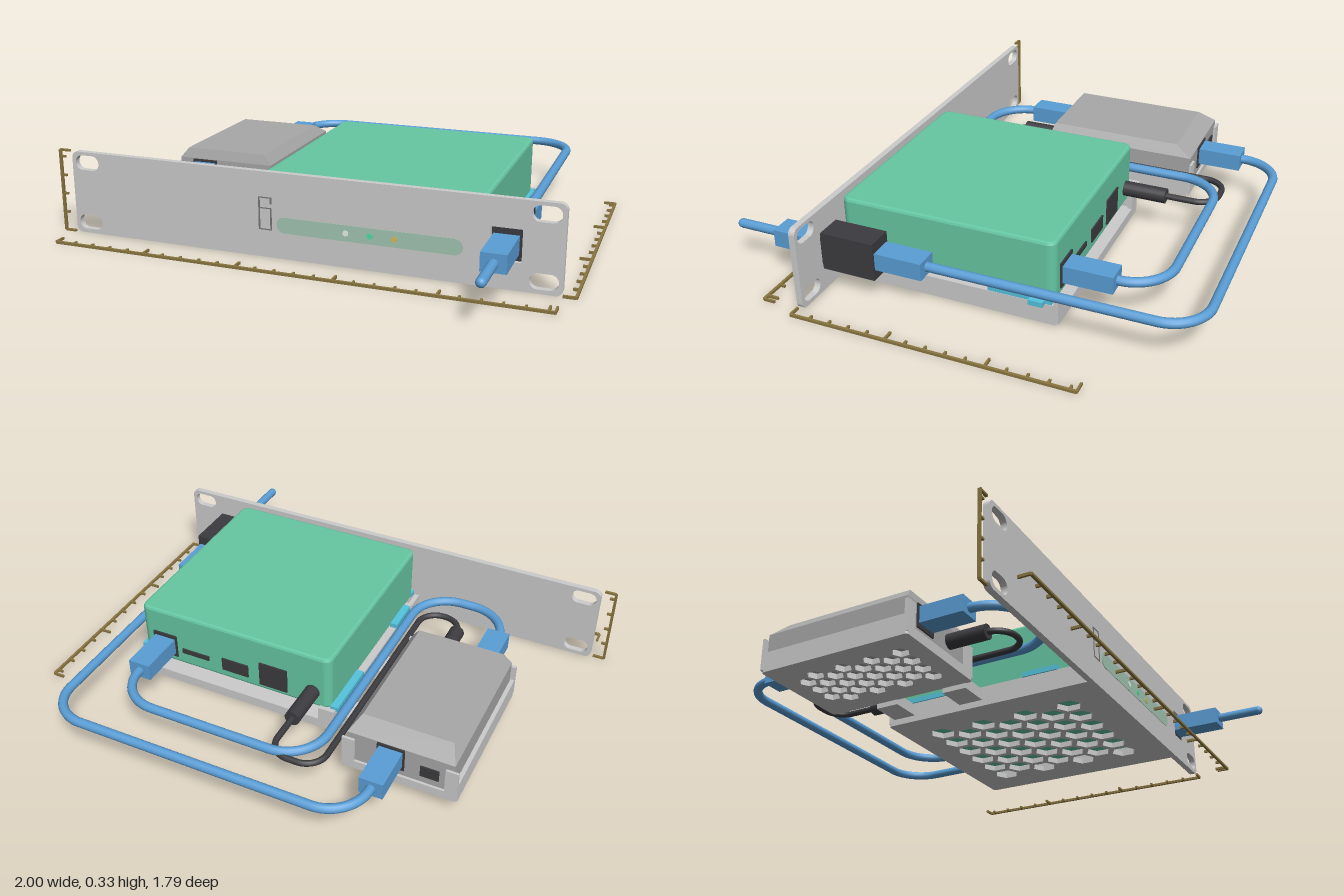
import * as THREE from 'three';
import { ConvexGeometry } from 'three/addons/geometries/ConvexGeometry.js';

const mat = (color) => new THREE.MeshStandardMaterial({ color });
const grey = mat(0xcccccc), bodyGrey = mat(0xa8a8a8), dark = mat(0x3c3c40), blue = mat(0x5a9ed6);
const green = mat(0x66c7a3), cyan = mat(0x55c4de), brass = mat(0x8a7640);

export function createModel() {
  const root = new THREE.Group();
  const add = (name, geo, material, parent = root) => {
    const m = new THREE.Mesh(geo, material);
    m.name = name;
    parent.add(m);
    return m;
  };
  const group = (name) => {
    const g = new THREE.Group();
    g.name = name;
    root.add(g);
    return g;
  };
  // Box given by its extents
  const box = (name, x0, x1, y0, y1, z0, z1, material, parent) => {
    const g = new THREE.BoxGeometry(x1 - x0, y1 - y0, z1 - z0);
    g.translate((x0 + x1) / 2, (y0 + y1) / 2, (z0 + z1) / 2);
    return add(name, g, material, parent);
  };
  // Rounded rectangle as a shape or a hole
  const roundRect = (x0, x1, y0, y1, r, Type = THREE.Shape) => {
    const s = new Type();
    s.absarc(x1 - r, y0 + r, r, -Math.PI / 2, 0);
    s.absarc(x1 - r, y1 - r, r, 0, Math.PI / 2);
    s.absarc(x0 + r, y1 - r, r, Math.PI / 2, Math.PI);
    s.absarc(x0 + r, y0 + r, r, Math.PI, Math.PI * 1.5);
    s.closePath();
    return s;
  };

  // Front panel with rounded mounting slots and a socket opening
  const panel = roundRect(-0.94, 0.95, 0.005, 0.33, 0.025);
  for (const x of [-0.875, 0.885])
    for (const y of [0.05, 0.288])
      panel.holes.push(roundRect(x - 0.05, x + 0.05, y - 0.029, y + 0.029, 0.028, THREE.Path));
  panel.holes.push(roundRect(0.698, 0.807, 0.107, 0.225, 0.002, THREE.Path));
  const panelGeo = new THREE.ExtrudeGeometry(panel, { depth: 0.024, bevelEnabled: false, curveSegments: 8 });
  add('frontPanel', panelGeo.translate(0, 0, 0.497), grey);

  // Light strip, indicator dots and outlined latch on the panel
  const strip = new THREE.ExtrudeGeometry(roundRect(-0.085, 0.605, 0.105, 0.165, 0.029), { depth: 0.005, bevelEnabled: false });
  add('lightStrip', strip.translate(0, 0, 0.518), mat(0xa3c6b2));
  [[0.18, 0xe8f0e8], [0.27, 0x4fe0a4], [0.36, 0xd6bd55]].forEach(([x, color]) => {
    const dot = new THREE.CylinderGeometry(0.011, 0.011, 0.006, 16).rotateX(Math.PI / 2);
    add('indicatorLight', dot.translate(x, 0.135, 0.522), mat(color));
  });
  const latch = group('latchOutline');
  const line = (x0, x1, y0, y1) => box('latchGroove', x0, x1, y0, y1, 0.518, 0.5225, mat(0x777777), latch);
  line(-0.157, -0.151, 0.11, 0.235);
  line(-0.111, -0.105, 0.11, 0.195);
  line(-0.111, -0.105, 0.21, 0.235);
  for (const y of [0.11, 0.191, 0.231]) line(-0.157, -0.105, y, y + 0.004);

  // Perforated floor: a plate with a staggered grid of hexagonal holes
  const hexFloor = (name, x0, x1, z0, z1, y, pitch, margin, parent) => {
    const s = roundRect(x0, x1, -z1, -z0, 0.012);
    const r = pitch * 0.47, dy = pitch * 0.866;
    const rows = Math.floor((z1 - z0 - 2 * margin - 2 * r) / dy) + 1;
    const cols = Math.floor((x1 - x0 - 2 * margin) / pitch);
    const cx = (x0 + x1) / 2, cy = -(z0 + z1) / 2;
    for (let j = 0; j < rows; j++) {
      const n = cols - (j % 2);
      for (let i = 0; i < n; i++) {
        const hx = cx + (i - (n - 1) / 2) * pitch, hy = cy + (j - (rows - 1) / 2) * dy;
        const hole = new THREE.Path();
        hole.setFromPoints(Array.from({ length: 6 }, (_, k) => {
          const a = Math.PI / 6 + (k * Math.PI) / 3;
          return new THREE.Vector2(hx + r * Math.cos(a), hy + r * Math.sin(a));
        }));
        s.holes.push(hole);
      }
    }
    const g = new THREE.ExtrudeGeometry(s, { depth: 0.022, bevelEnabled: false, curveSegments: 3 });
    add(name, g.rotateX(-Math.PI / 2).translate(0, y, 0), grey, parent);
  };

  // Main tray: floor, side walls, low rear lip with corner stops
  const tray = group('mainTray');
  hexFloor('mainTrayFloor', -0.175, 0.692, -0.366, 0.5, 0.005, 0.108, 0.06, tray);
  for (const [x0, x1] of [[-0.175, -0.155], [0.672, 0.692]])
    box('mainTrayWall', x0, x1, 0.015, 0.084, -0.35, 0.5, grey, tray);
  box('mainTrayRearLip', -0.17, 0.687, 0.015, 0.045, -0.366, -0.35, grey, tray);
  for (const [x0, x1] of [[-0.175, -0.11], [0.627, 0.692]])
    box('mainTrayCornerStop', x0, x1, 0.015, 0.1, -0.366, -0.349, grey, tray);

  // Coloured clips along the tray edges
  for (const [x0, x1] of [[-0.18, -0.148], [0.665, 0.69]])
    for (const [z0, z1] of [[-0.34, -0.1], [0.235, 0.38]])
      box('trayClip', x0, x1, 0.083, 0.103, z0, z1, cyan, tray);
  box('trayClipTab', 0.68, 0.712, 0.08, 0.1, -0.315, -0.26, cyan, tray);
  for (const x of [-0.1, 0.6]) box('frontClip', x - 0.05, x + 0.05, 0.083, 0.103, 0.47, 0.496, cyan, tray);

  // Green device with softened edges
  const dev = new THREE.ExtrudeGeometry(roundRect(-0.138, 0.664, -0.474, 0.333, 0.02), {
    depth: 0.212, bevelThickness: 0.011, bevelSize: 0.012, bevelSegments: 2, curveSegments: 4 });
  add('deviceBody', dev.rotateX(-Math.PI / 2).translate(0, 0.097, 0), green);
  for (const [x0, x1, y0, y1] of [[0.03, 0.15, 0.11, 0.215], [0.2, 0.315, 0.125, 0.18], [0.375, 0.495, 0.145, 0.165], [0.52, 0.625, 0.115, 0.215]])
    box('devicePort', x0, x1, y0, y1, -0.351, -0.335, dark);

  // Power unit with a sloped lid, in its own smaller tray
  const ring = (x0, x1, z0, z1, y) => [[x0, z0], [x1, z0], [x1, z1], [x0, z1]].map(([x, z]) => new THREE.Vector3(x, y, z));
  add('powerUnit', new ConvexGeometry([
    ...ring(-0.72, -0.313, -0.543, 0.072, 0.072),
    ...ring(-0.72, -0.313, -0.543, 0.072, 0.212),
    ...ring(-0.688, -0.343, -0.475, 0.06, 0.252)]), bodyGrey);
  box('powerUnitPort', -0.535, -0.43, 0.115, 0.21, -0.549, -0.53, dark);
  box('powerUnitSocket', -0.665, -0.595, 0.12, 0.165, -0.549, -0.53, dark);
  box('powerUnitFrontPort', -0.66, -0.555, 0.115, 0.21, 0.06, 0.078, dark);

  const side = group('sideTray');
  hexFloor('sideTrayFloor', -0.738, -0.297, -0.55, 0.088, 0.05, 0.072, 0.045, side);
  for (const [x0, x1] of [[-0.738, -0.722], [-0.311, -0.297]])
    box('sideTrayWall', x0, x1, 0.06, 0.13, -0.55, 0.088, grey, side);
  for (const [z0, z1] of [[-0.555, -0.545], [0.074, 0.088]]) {
    box('sideTrayLip', -0.735, -0.3, 0.06, 0.09, z0, z1, grey, side);
    for (const [x0, x1] of [[-0.738, -0.69], [-0.345, -0.297]])
      box('sideTrayCorner', x0, x1, 0.06, 0.19, z0, z1, grey, side);
  }
  for (const [z0, z1] of [[-0.34, -0.245], [-0.04, 0.06]])
    box('trayBridge', -0.3, -0.17, 0.03, 0.075, z0, z1, grey, side);

  // Cable through [x, z] points with rounded corners of radius r
  const cable = (name, pts, r, y, radius, material) => {
    const p = pts.map(([x, z]) => new THREE.Vector3(x, y, z));
    const path = new THREE.CurvePath();
    let last = p[0];
    for (let i = 1; i < p.length - 1; i++) {
      const toA = p[i - 1].clone().sub(p[i]).normalize(), toB = p[i + 1].clone().sub(p[i]).normalize();
      const at = (d, k) => p[i].clone().addScaledVector(d, r * k);
      path.add(new THREE.LineCurve3(last, at(toA, 1)));
      path.add(new THREE.CubicBezierCurve3(at(toA, 1), at(toA, 0.448), at(toB, 0.448), at(toB, 1)));
      last = at(toB, 1);
    }
    path.add(new THREE.LineCurve3(last, p[p.length - 1]));
    add(name, new THREE.TubeGeometry(path, 200, radius, 12), material);
  };
  cable('longNetworkCable', [[0.751, 0.12], [0.751, -0.877], [-0.483, -0.877], [-0.483, -0.7]], 0.15, 0.167, 0.018, blue);
  cable('shortNetworkCable', [[0.572, -0.5], [0.572, -0.698], [-0.238, -0.698], [-0.238, 0.414], [-0.607, 0.414], [-0.607, 0.24]], 0.16, 0.165, 0.018, blue);
  cable('powerCable', [[-0.077, -0.49], [-0.077, -0.705], [-0.275, -0.705], [-0.275, 0.308], [-0.441, 0.308], [-0.441, 0.22]], 0.08, 0.155, 0.012, dark);

  // Plugs on the cable ends
  const plug = (x, z0, z1) => box('networkPlug', x - 0.045, x + 0.045, 0.133, 0.2, z0, z1, blue);
  plug(0.751, 0.104, 0.29);
  plug(0.751, 0.5, 0.705);
  plug(-0.483, -0.72, -0.54);
  plug(0.572, -0.535, -0.345);
  plug(-0.607, 0.07, 0.255);
  for (const [x, z0, z1] of [[-0.077, -0.515, -0.34], [-0.441, 0.065, 0.235]]) {
    const g = new THREE.CylinderGeometry(0.03, 0.03, z1 - z0, 20).rotateX(Math.PI / 2);
    add('powerPlug', g.translate(x, 0.155, (z0 + z1) / 2), dark);
  }

  // Socket behind the panel and the cable stub in front
  box('socketHousing', 0.701, 0.804, 0.092, 0.24, 0.287, 0.497, dark);
  box('socketFace', 0.701, 0.804, 0.109, 0.223, 0.49, 0.512, dark);
  const stub = new THREE.CapsuleGeometry(0.018, 0.16, 6, 12).rotateX(Math.PI / 2);
  add('frontCableStub', stub.translate(0.751, 0.167, 0.794), blue);

  // Measuring rulers: a thin rail with ticks, built along +x then turned into place
  const ruler = (name, length, tick) => {
    const g = group(name), t = 0.005;
    box('rulerRail', 0, length, -t, t, -t, t, brass, g);
    const count = Math.floor(length / 0.0747);
    for (let i = 0; i <= count + 1; i++) {
      const x = i > count ? length : i * 0.0747;
      const len = i % 5 === 0 || i > count ? 0.045 : 0.022;
      box('rulerTick', x - 0.004, x + 0.004, -t, t, Math.min(0, tick * len), Math.max(0, tick * len), brass, g);
    }
    return g;
  };
  ruler('widthRuler', 1.89, -1).position.set(-0.94, 0.008, 0.662);
  const depth = ruler('depthRuler', 1.07, -1);
  depth.rotation.y = Math.PI / 2;
  depth.position.set(0.995, 0.008, 0.52);
  const height = ruler('heightRuler', 0.325, 1);
  height.rotation.set(Math.PI / 2, 0, Math.PI / 2, 'ZXY');
  height.rotation.set(0, 0, 0);
  height.quaternion.setFromRotationMatrix(new THREE.Matrix4().makeBasis(
    new THREE.Vector3(0, 1, 0), new THREE.Vector3(0, 0, 1), new THREE.Vector3(1, 0, 0)));
  height.position.set(-0.995, 0.005, 0.516);
  return root;
}
